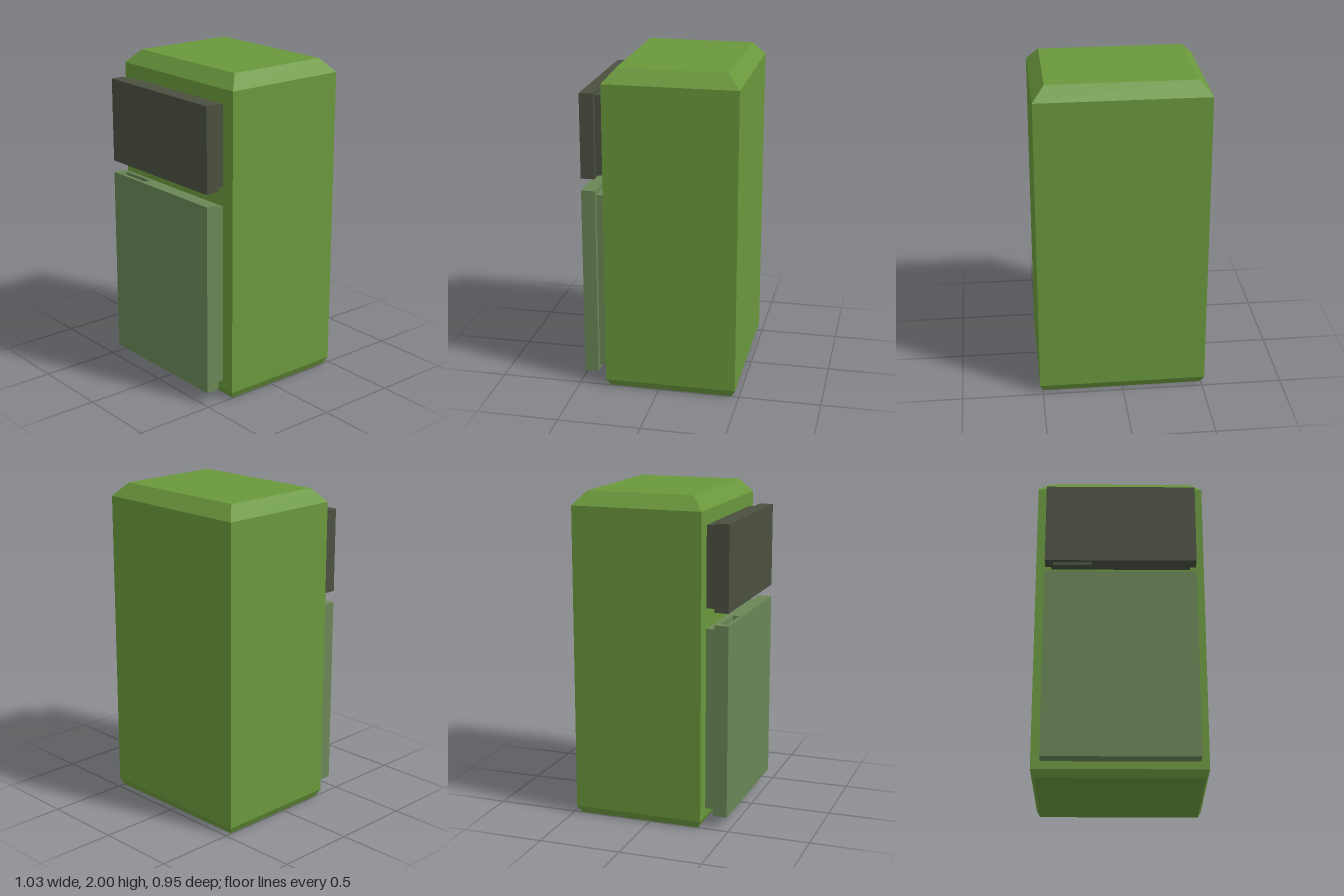
import * as THREE from 'three';

// Skins a stack of rectangles [x0, x1, z0, z1, y], capping both ends
function loft(rings) {
  const corners = rings.map(([x0, x1, z0, z1, y]) => [[x0, y, z1], [x1, y, z1], [x1, y, z0], [x0, y, z0]]);
  const pos = [];
  const quad = (a, b, c, d) => pos.push(...a, ...b, ...c, ...a, ...c, ...d);
  for (let r = 0; r < corners.length - 1; r++) {
    const a = corners[r], b = corners[r + 1];
    for (let i = 0; i < 4; i++) {
      const j = (i + 1) % 4;
      quad(a[i], a[j], b[j], b[i]);
    }
  }
  const [p, q, r, s] = corners[0];
  quad(s, r, q, p);
  quad(...corners[corners.length - 1]);
  const geometry = new THREE.BufferGeometry();
  geometry.setAttribute('position', new THREE.Float32BufferAttribute(pos, 3));
  geometry.computeVertexNormals();
  return geometry;
}

export function createModel() {
  const group = new THREE.Group();
  const paint = (color) => new THREE.MeshStandardMaterial({ color, flatShading: true });
  const green = paint(0x6a983c), paleGreen = paint(0x6a8656), dark = paint(0x4a5040);

  const add = (name, rings, material) => {
    const mesh = new THREE.Mesh(loft(rings), material);
    mesh.name = name;
    group.add(mesh);
  };

  // Cabinet with a wide bevel on top and a narrow one below
  const cabinet = (inset, y) => [-0.517 + inset, 0.517 - inset, -0.477 + inset, 0.33 - inset, y];
  add('cabinet', [cabinet(0.022, 0), cabinet(0, 0.045), cabinet(0, 1.917), cabinet(0.073, 2)], green);

  // Door panels, each with a handle recess in the edge facing the gap
  const panel = (y) => [-0.457, 0.463, 0.392, 0.477, y];
  const recess = (y) => [-0.41, -0.17, 0.415, 0.455, y];
  add('fridgeDoor', [panel(0.07), panel(1.25), recess(1.25), recess(1.2)], paleGreen);
  add('freezerDoor', [recess(1.375), recess(1.325), panel(1.325), panel(1.845)], dark);

  // Door seals between the panels and the cabinet
  const seal = (y) => [-0.423, 0.43, 0.33, 0.392, y];
  add('fridgeSeal', [seal(0.1), seal(1.217)], paleGreen);
  add('freezerSeal', [seal(1.34), seal(1.83)], dark);

  return group;
}
